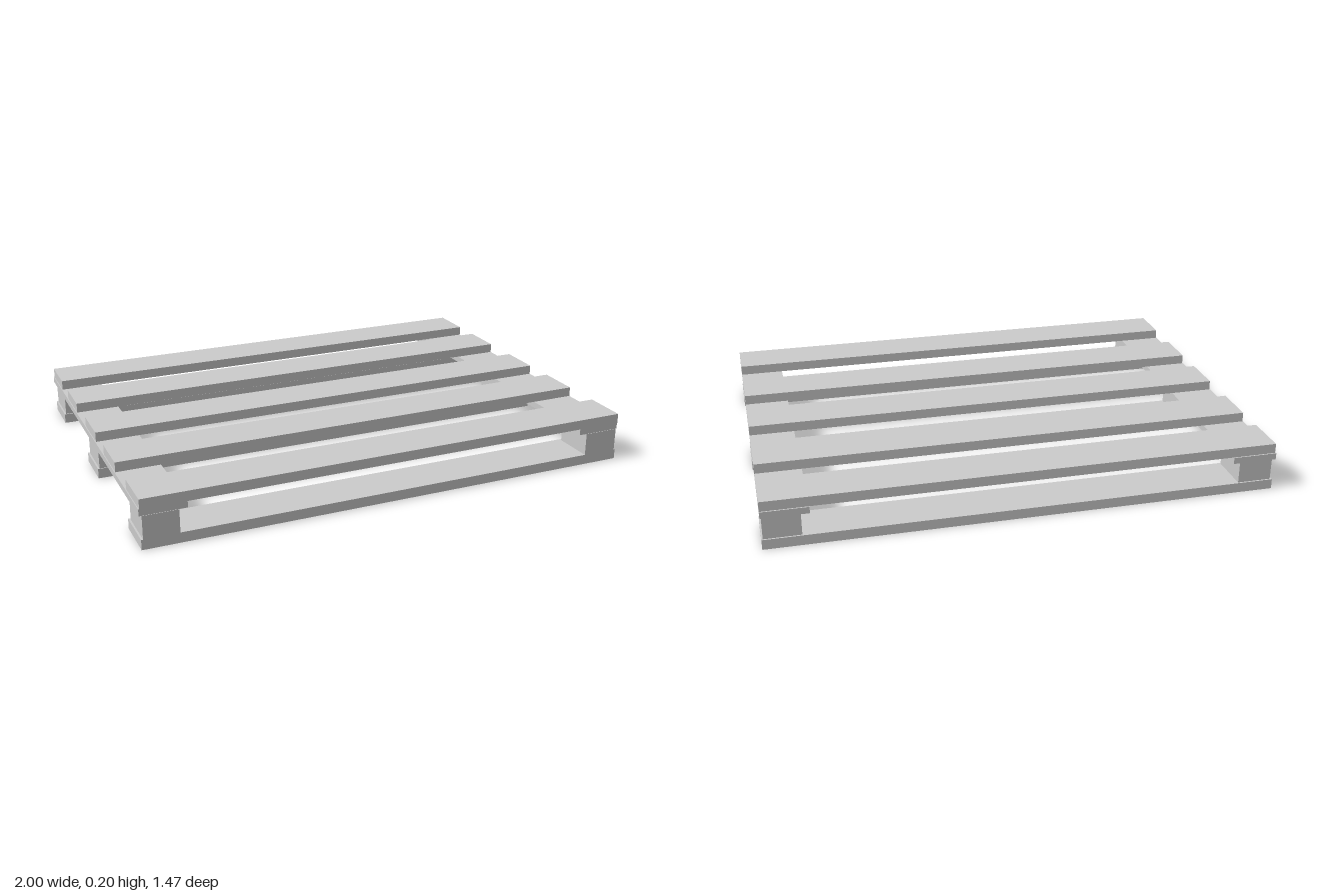
import * as THREE from 'three';

const material = new THREE.MeshStandardMaterial({ color: 0xcccccc, flatShading: true });

// Box given by its [min, max] range along each axis
function addBox(group, name, [x0, x1], [y0, y1], [z0, z1]) {
  const mesh = new THREE.Mesh(new THREE.BoxGeometry(x1 - x0, y1 - y0, z1 - z0), material);
  mesh.position.set((x0 + x1) / 2, (y0 + y1) / 2, (z0 + z1) / 2);
  mesh.name = name;
  group.add(mesh);
}

export function createModel() {
  const pallet = new THREE.Group();
  pallet.name = 'pallet';
  const length = [-0.997, 0.997];
  const boardWidth = 0.178;
  const span = (z) => [z - boardWidth / 2, z + boardWidth / 2];

  // Five deck boards across the top
  for (const z of [0.643, 0.307, -0.003, -0.342, -0.639]) {
    addBox(pallet, 'deckBoard', length, [0.157, 0.196], span(z));
  }

  // Two thin cross boards joining the deck at the ends
  addBox(pallet, 'leftCrossBoard', [0.818, 0.997], [0.131, 0.157], [-0.733, 0.73]);
  addBox(pallet, 'rightCrossBoard', [-1, -0.823], [0.131, 0.157], [-0.733, 0.73]);

  // Three bottom runners, each with a spacer block at both ends
  const rows = [
    { board: 0.643, block: [0.565, 0.732] },
    { board: -0.003, block: [-0.083, 0.082] },
    { board: -0.639, block: [-0.722, -0.555] },
  ];
  for (const { board, block } of rows) {
    addBox(pallet, 'bottomBoard', length, [0, 0.04], span(board));
    addBox(pallet, 'leftBlock', [0.85, 0.992], [0.04, 0.131], block);
    addBox(pallet, 'rightBlock', [-0.99, -0.855], [0.04, 0.131], block);
  }
  return pallet;
}
